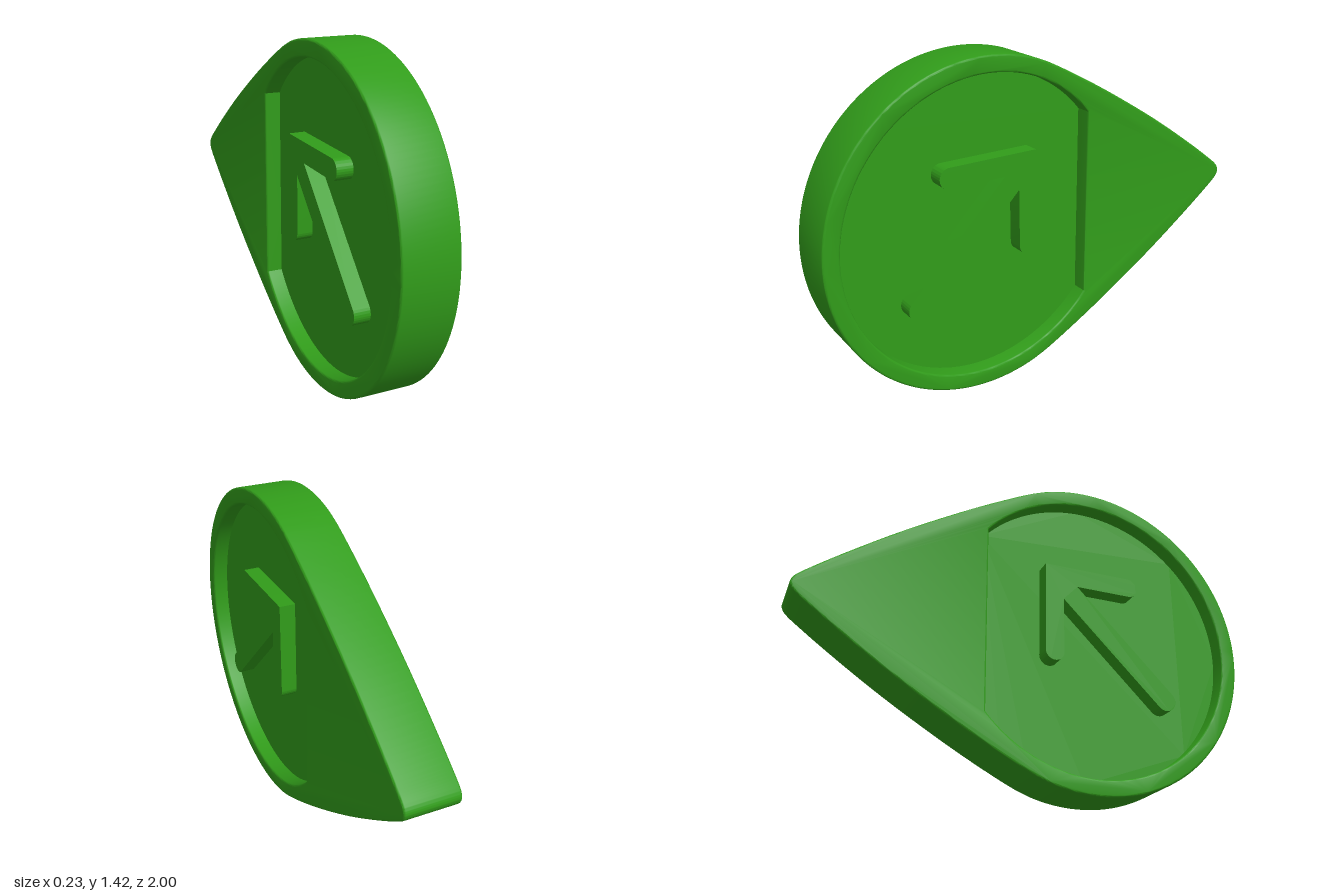
import * as THREE from 'three';
import { toCreasedNormals } from 'three/addons/utils/BufferGeometryUtils.js';

const HALF = 0.117;         // half thickness
const DEPTH = 0.07;         // recess depth on each side
const CU = -0.2885, CY = 0.7125, R = 0.7125; // round end (u = -z)
const RECESS_R = 0.642, CUT = 0.2;

const material = new THREE.MeshStandardMaterial({ color: 0x319c1a });

// Extrudes a side-view shape (u = -z, y) across x0..x1
function slab(name, shape, x0, x1, bevel = 0) {
  let g = new THREE.ExtrudeGeometry(shape, {
    depth: x1 - x0 - 2 * bevel, curveSegments: 48,
    bevelEnabled: bevel > 0, bevelSize: bevel, bevelThickness: bevel,
    bevelOffset: -bevel, bevelSegments: 3,
  });
  g.translate(0, 0, x0 + bevel);
  g.rotateY(Math.PI / 2);
  g = toCreasedNormals(g, 0.6);
  const mesh = new THREE.Mesh(g, material);
  mesh.name = name;
  return mesh;
}

// Teardrop: large arc, gently bowed flanks, small rounded tip
function teardropShape() {
  const join = Math.acos(0.2185 / R);
  const flank = [[-0.07, 0.678], [0, 0.65], [0.2, 0.547], [0.4, 0.432], [0.6, 0.308],
    [0.8, 0.172], [0.92, 0.085], [0.975, 0.042], [0.993, 0.022], [1, 0]];
  const all = [...flank, ...flank.slice(0, -1).reverse().map(([u, h]) => [u, -h])];
  const curve = new THREE.CatmullRomCurve3(
    all.map(([u, h]) => new THREE.Vector3(u, CY + h, 0)), false, 'centripetal');
  const pts = curve.getPoints(108).map(p => new THREE.Vector2(p.x, p.y));
  // from the lower join round the big end to the upper join
  const n = 96;
  for (let i = 1; i < n; i++) {
    const a = -join - (2 * Math.PI - 2 * join) * i / n;
    pts.push(new THREE.Vector2(CU + R * Math.cos(a), CY + R * Math.sin(a)));
  }
  return new THREE.Shape(pts.reverse());
}

// Circle cut off by a vertical chord
function recessOutline(Type, r, cut) {
  const a = Math.acos((cut - CU) / r);
  const s = new Type();
  s.absarc(CU, CY, r, a, 2 * Math.PI - a, false);
  s.closePath();
  return s;
}

// Arrow pointing up and back, with rounded bar ends
function arrowShape() {
  const s = new THREE.Shape();
  const q = Math.PI / 4, h = Math.PI / 2;
  s.moveTo(-0.066, 1.015);
  s.lineTo(-0.466, 1.015);
  s.absarc(-0.466, 0.971, 0.044, h, 3 * h, false);
  s.lineTo(-0.215, 0.927);
  s.absarc(-0.622, 0.452, 0.047, 3 * q, 7 * q, false);
  s.lineTo(-0.148, 0.857);
  s.absarc(-0.103, 0.605, 0.043, Math.PI, 2 * Math.PI, false);
  s.closePath();
  return s;
}

export function createModel() {
  const group = new THREE.Group();
  group.name = 'teardropMarker';

  // Rim and pointed tail around the recess
  const body = teardropShape();
  body.holes.push(recessOutline(THREE.Path, RECESS_R, CUT));
  group.add(slab('body', body, -HALF, HALF, 0.008));

  // Thin panel forming the recess floor on both sides
  const floor = HALF - DEPTH;
  group.add(slab('recessPanel', recessOutline(THREE.Shape, RECESS_R + 0.01, CUT + 0.01), -floor, floor));

  // Raised arrow on each side
  group.add(slab('leftArrow', arrowShape(), floor - 0.01, HALF));
  group.add(slab('rightArrow', arrowShape(), -HALF, -floor + 0.01));
  return group;
}
